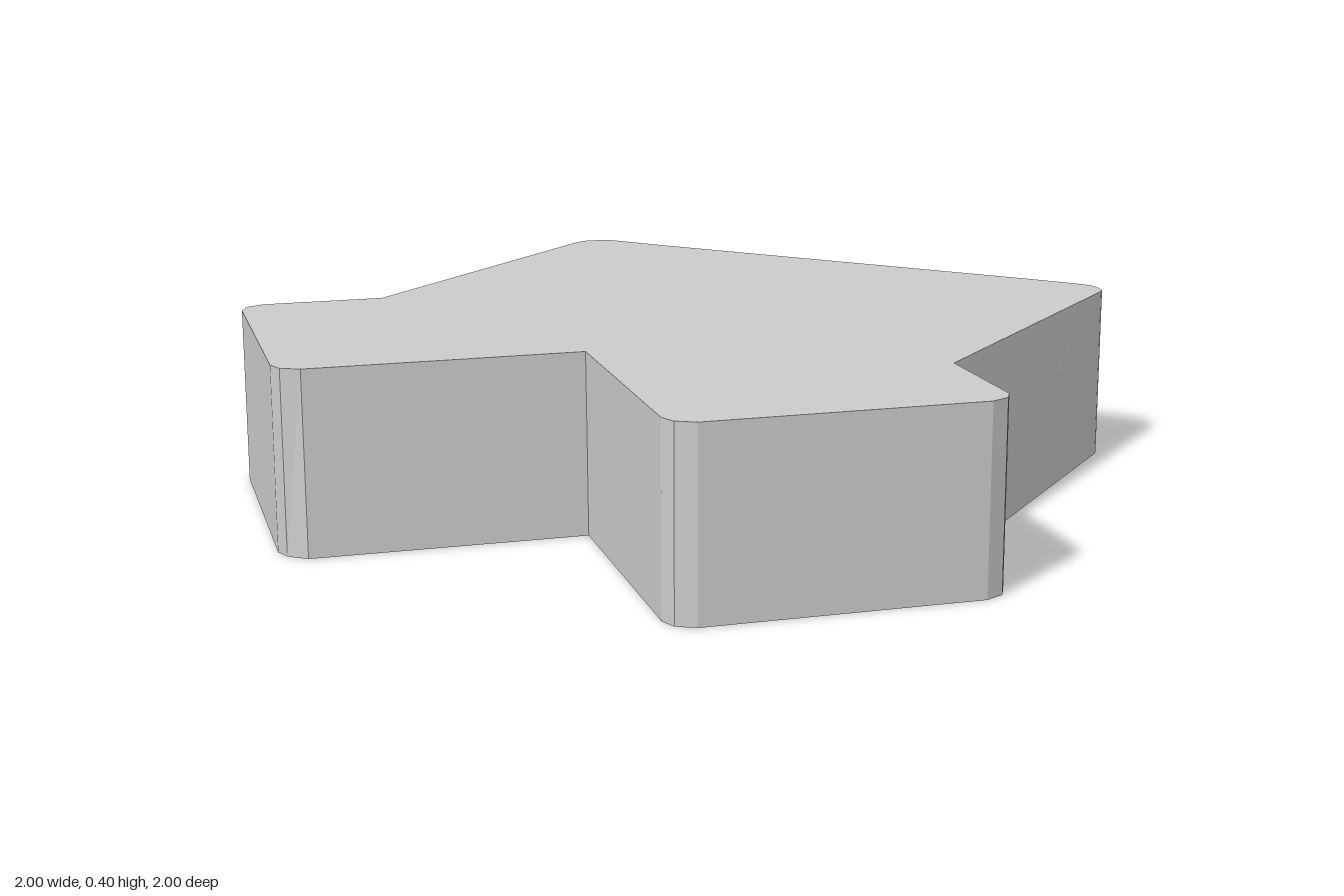
import * as THREE from 'three';

const HEIGHT = 0.4;

// Outline seen from above, clockwise from the back corner: x, z of the top edge,
// then x, z of the bottom edge where it flares out.
const OUTLINE = [
  // back corner and flared edge
  [-0.05, -0.985], [-0.02, -1], [0.02, -1], [0.05, -0.985],
  [0.15, -0.88], [0.165, -0.865, 0.17, -0.87], [0.188, -0.842, 0.21, -0.87], [0.89, -0.15],
  // side corner
  [0.98, -0.055], [0.995, -0.03], [1, 0], [0.995, 0.03], [0.985, 0.045],
  // front arm
  [0.35, 0.67, 0.35, 0.72],
  [0.35, 0.95], [0.335, 0.98], [0.295, 1],
  [-0.295, 1], [-0.335, 0.98], [-0.35, 0.945],
  // inner notch
  [-0.35, 0.35, -0.35, 0.36],
  // side arm
  [-0.945, 0.35, -0.945, 0.36], [-0.985, 0.33], [-1, 0.295],
  [-1, -0.295], [-0.985, -0.335], [-0.945, -0.355],
  [-0.67, -0.355],
];

// Flat-shaded plate between a bottom loop and a top loop
function loftPlate(outline, height) {
  const top = outline.map(([x, z]) => new THREE.Vector3(x, height, z));
  const bottom = outline.map(([x, z, bx = x, bz = z]) => new THREE.Vector3(bx, 0, bz));
  const points = [];

  // side walls
  top.forEach((t, i) => {
    const j = (i + 1) % top.length;
    points.push(bottom[j], bottom[i], t, bottom[j], t, top[j]);
  });

  // caps, each triangle turned to face up or down
  for (const [loop, up] of [[top, true], [bottom, false]]) {
    const flat = loop.map((p) => new THREE.Vector2(p.x, p.z));
    for (const face of THREE.ShapeUtils.triangulateShape(flat, [])) {
      const [a, b, c] = face.map((k) => loop[k]);
      const facesUp = (b.z - a.z) * (c.x - a.x) - (b.x - a.x) * (c.z - a.z) > 0;
      points.push(a, ...(facesUp === up ? [b, c] : [c, b]));
    }
  }

  const geometry = new THREE.BufferGeometry().setFromPoints(points);
  geometry.computeVertexNormals();
  return geometry;
}

export function createModel() {
  const group = new THREE.Group();
  group.name = 'notchedPlate';
  const material = new THREE.MeshStandardMaterial({ color: 0xcccccc });
  const plate = new THREE.Mesh(loftPlate(OUTLINE, HEIGHT), material);
  plate.name = 'plate';
  group.add(plate);
  return group;
}
